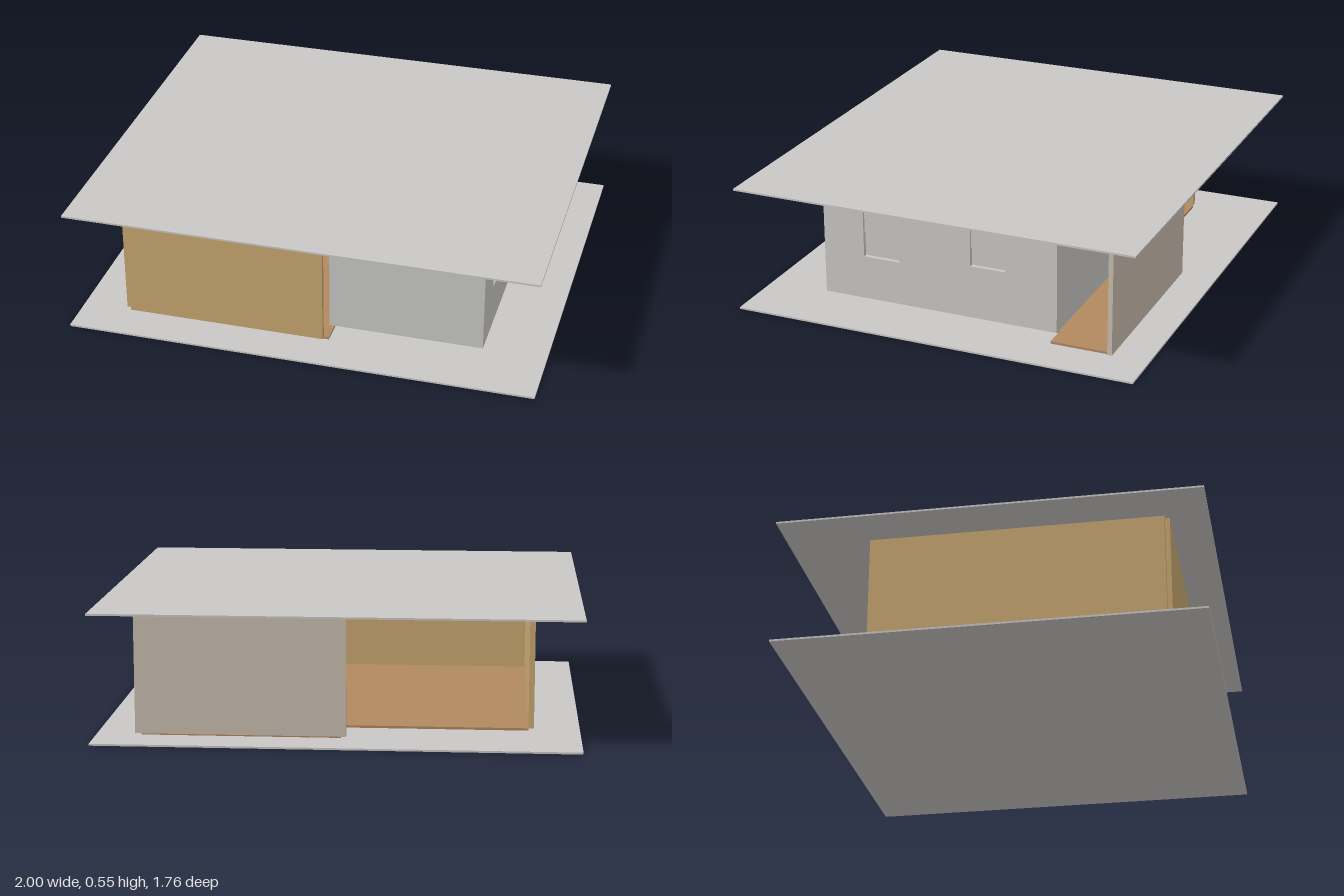
import * as THREE from 'three';

const paint = (name, color) => {
  const m = new THREE.MeshStandardMaterial({ color });
  m.name = name;
  return m;
};

export function createModel() {
  const house = new THREE.Group();
  house.name = 'house';
  const plaster = paint('grey plaster', 0xc9c8c6);
  const gold = paint('golden wall', 0xc8a670);
  const beige = paint('beige wall', 0xc9bdae);
  const timber = paint('brown floor', 0xb1895f);

  // Heights of the stacked layers
  const slabTop = 0.008, floorTop = 0.018, wallTop = 0.53, ceilingTop = 0.537, roofTop = 0.545;

  const add = (name, geometry, material) => {
    const mesh = new THREE.Mesh(geometry, material);
    mesh.name = name;
    house.add(mesh);
    return mesh;
  };
  // Box given by its limits on each axis
  const block = (name, material, [x0, x1], [y0, y1], [z0, z1]) =>
    add(name, new THREE.BoxGeometry(x1 - x0, y1 - y0, z1 - z0), material)
      .position.set((x0 + x1) / 2, (y0 + y1) / 2, (z0 + z1) / 2);

  // Ground and roof slabs
  block('groundSlab', plaster, [-1, 1], [0, slabTop], [-0.88, 0.88]);
  block('roofSlab', plaster, [-1, 1], [ceilingTop, roofTop], [-0.88, 0.88]);

  // Floor and ceiling share one stepped outline
  const outline = [[-0.785, 0.70], [0.09, 0.70], [0.09, 0.59], [0.71, 0.59], [0.71, -0.455],
    [0.81, -0.455], [0.81, -0.71], [-0.015, -0.71], [-0.015, -0.53], [-0.785, -0.53]];
  const plate = (name, material, y0, y1) => {
    const shape = new THREE.Shape(outline.map(([x, z]) => new THREE.Vector2(x, -z)));
    const geo = new THREE.ExtrudeGeometry(shape, { depth: y1 - y0, bevelEnabled: false });
    add(name, geo.rotateX(-Math.PI / 2), material).position.y = y0;
  };
  plate('floor', timber, slabTop, floorTop);
  plate('ceiling', plaster, wallTop, ceilingTop);

  // Free-standing coloured walls
  const full = [floorTop, wallTop];
  block('frontWall', gold, [-0.785, 0.068], full, [0.70, 0.72]);
  block('sideWall', gold, [-0.808, -0.785], full, [-0.53, 0.70]);
  block('backWall', beige, [-0.037, 0.835], full, [-0.73, -0.71]);

  // Enclosed room
  block('roomInnerWall', plaster, [0.068, 0.09], full, [-0.43, 0.59]);
  block('roomFrontWall', plaster, [0.068, 0.73], full, [0.59, 0.61]);
  block('roomBackWall', plaster, [0.068, 0.73], full, [-0.45, -0.43]);

  // Window wall with two openings, each with a pair of sashes
  const windows = [
    { z: [0.26, 0.425], y: [0.21, 0.465] },
    { z: [-0.22, -0.065], y: [0.25, 0.44] },
  ];
  const rect = (path, [z0, z1], [y0, y1]) => path.moveTo(-z1, y0)
    .lineTo(-z0, y0).lineTo(-z0, y1).lineTo(-z1, y1).closePath();
  const wall = rect(new THREE.Shape(), [-0.43, 0.59], full);
  for (const { z, y } of windows) {
    wall.holes.push(rect(new THREE.Path(), z, y));
    const mid = (y[0] + y[1]) / 2 - 0.02;
    block('lowerSash', plaster, [0.706, 0.712], [y[0], mid], z);
    block('upperSash', plaster, [0.706, 0.718], [mid, y[1]], z);
  }
  const wallGeo = new THREE.ExtrudeGeometry(wall, { depth: 0.022, bevelEnabled: false });
  add('roomWindowWall', wallGeo.rotateY(Math.PI / 2), plaster).position.x = 0.708;

  return house;
}
